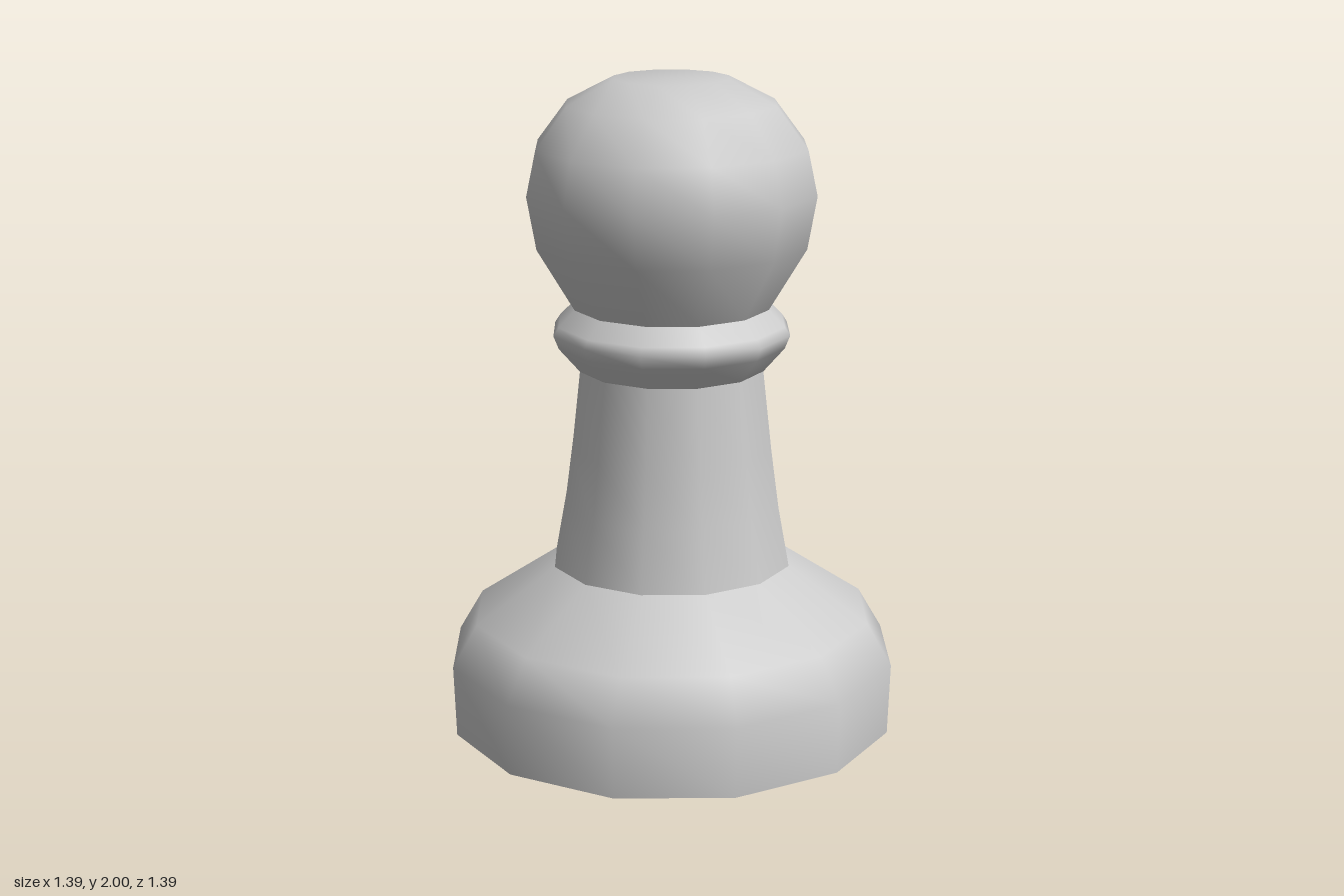
import * as THREE from 'three';

const SIDES = 12;

export function createModel() {
  const group = new THREE.Group();
  const material = new THREE.MeshStandardMaterial({ color: 0xcccccc });

  const add = (name, geometry) => {
    const mesh = new THREE.Mesh(geometry, material);
    mesh.name = name;
    group.add(mesh);
    return mesh;
  };

  // Each turned part is its own smooth lathe, leaving a crisp edge where parts meet
  const turn = (name, profile) =>
    add(name, new THREE.LatheGeometry(profile.map(([r, y]) => new THREE.Vector2(r, y)), SIDES));

  // Flat underside
  add('underside', new THREE.CircleGeometry(0.685, SIDES)).rotation.x = Math.PI / 2;

  // Wide rounded foot
  turn('base', [[0.685, 0], [0.693, 0.22], [0.617, 0.35], [0.37, 0.515]]);

  // Tapering, slightly concave stem
  turn('stem', [[0.37, 0.515], [0.336, 0.7], [0.312, 0.88], [0.285, 1.125]]);

  // Ring below the head
  turn('collar', [[0.285, 1.125], [0.35, 1.2], [0.366, 1.24], [0.35, 1.265], [0.3, 1.315]]);

  // Ball head with a flattened crown
  turn('head', [
    [0.3, 1.315], [0.414, 1.505], [0.443, 1.665], [0.414, 1.8],
    [0.32, 1.925], [0.176, 2], [0, 2],
  ]);

  return group;
}
